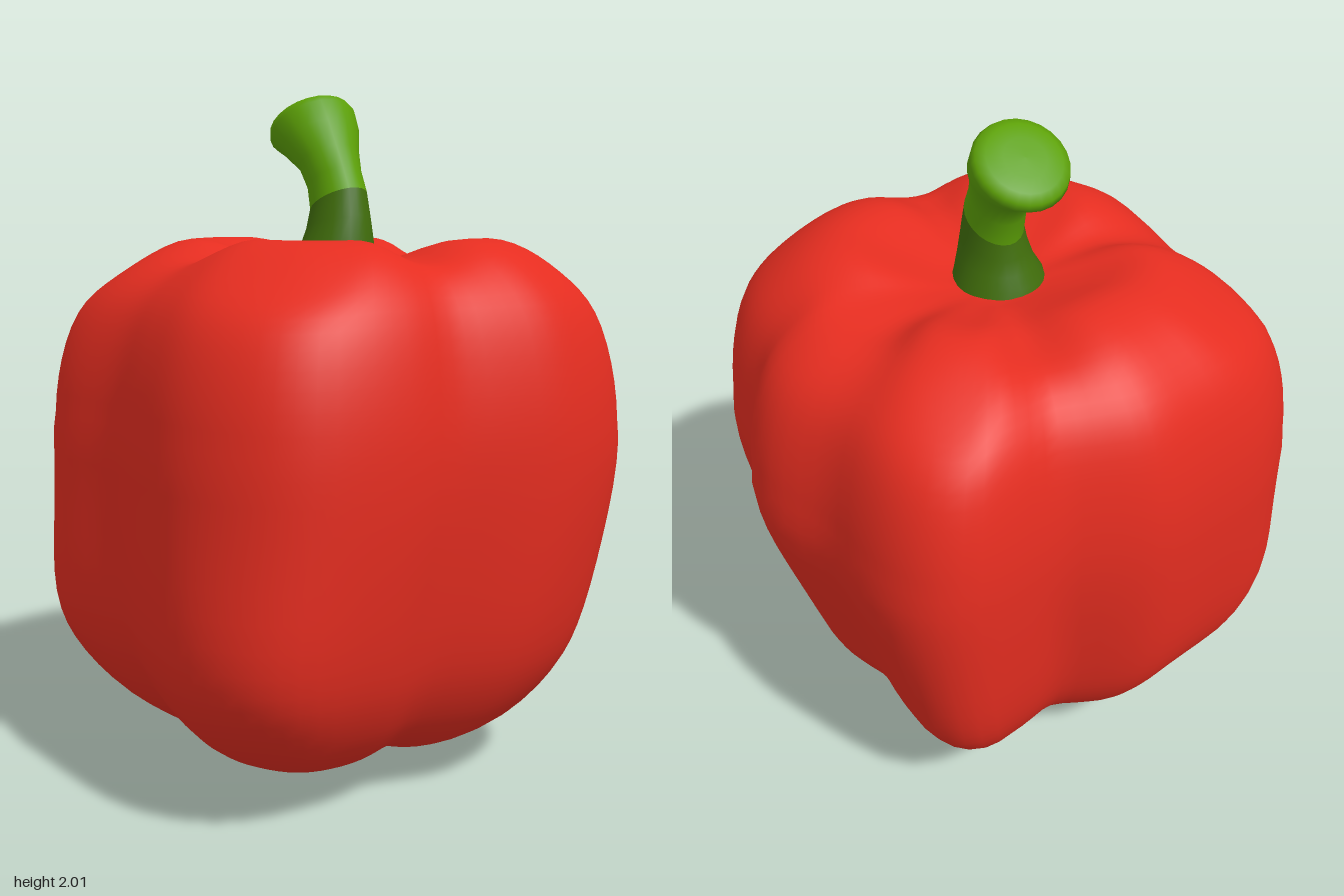
import * as THREE from 'three';

const bump = (d, width) => Math.exp(-(d * d) / (width * width));
const { smoothstep, lerp } = THREE.MathUtils;

// Skins rings of points (arrays of Vector3, equal length) into one smooth surface.
function skin(rings) {
  const n = rings[0].length;
  const pos = rings.flat().flatMap((p) => [p.x, p.y, p.z]);
  const index = [];
  for (let i = 0; i < rings.length - 1; i++) {
    for (let j = 0; j < n; j++) {
      const a = i * n + j, b = i * n + ((j + 1) % n);
      index.push(a, a + n, b, b, a + n, b + n);
    }
  }
  const geo = new THREE.BufferGeometry();
  geo.setAttribute('position', new THREE.Float32BufferAttribute(pos, 3));
  geo.setIndex(index);
  geo.computeVertexNormals();
  return geo;
}

// Lobed body: the plan outline is scaled along a vertical profile, then creased.
function bodyGeometry() {
  const outline = new THREE.CatmullRomCurve3([
    [-0.12, -0.75], [-0.32, -0.71], [-0.57, -0.63], [-0.75, -0.46], [-0.77, -0.33],
    [-0.735, -0.04], [-0.745, 0.16], [-0.74, 0.39], [-0.69, 0.54], [-0.6, 0.66],
    [-0.5, 0.72], [-0.35, 0.745], [-0.19, 0.74], [-0.07, 0.715], [0.1, 0.73],
    [0.3, 0.735], [0.52, 0.65], [0.63, 0.55], [0.7, 0.37], [0.715, 0.15],
    [0.765, 0.02], [0.76, -0.11], [0.67, -0.31], [0.64, -0.48], [0.6, -0.6],
    [0.53, -0.69], [0.44, -0.73], [0.3, -0.72], [0.15, -0.69], [0.03, -0.72],
  ].map(([x, z]) => new THREE.Vector3(x, 0, z)), true).getSpacedPoints(96).slice(0, 96);

  const creases = [[-0.03, 0.72], [-0.73, -0.04], [0.15, -0.69], [0.68, -0.29]];

  // Scale of the outline against height, from the top hollow to the base
  const profile = new THREE.SplineCurve([
    [0, 1.49], [0.15, 1.495], [0.3, 1.53], [0.5, 1.58], [0.68, 1.555], [0.82, 1.48],
    [0.92, 1.37], [0.98, 1.2], [1, 1.0], [0.98, 0.75], [0.93, 0.5], [0.85, 0.33],
    [0.7, 0.18], [0.5, 0.085], [0.3, 0.05], [0.15, 0.065], [0, 0.08],
  ].map(([s, y]) => new THREE.Vector2(s, y))).getPoints(56);

  return skin(profile.map(({ x, y }) => outline.map((p) => {
    const s = Math.max(0, x);
    const top = y > 1;
    const radius = p.length();
    const crease = Math.max(...creases.map(([cx, cz]) => bump(Math.hypot(p.x - cx, p.z - cz), 0.19)));
    const corner = smoothstep(radius, 0.8, 0.92);
    const sideLobe = bump(p.x - 0.77, 0.2) * bump(p.z + 0.03, 0.25);
    const low = smoothstep(1.1 - y, 0, 0.7);
    const round = lerp(0.75 / radius, 1, smoothstep(s, 0, top ? 0.45 : 0.7)); // rounder near the poles
    const swell = 1 - low * (0.03 * crease * smoothstep(s, 0.3, 0.9) + 0.05 * sideLobe)
      + 0.05 * corner * bump(y - 0.4, 0.28);
    const f = s * round * swell;
    const shoulder = bump(s - 0.55, 0.22);
    const narrow = top ? 0.06 * bump(s - 0.72, 0.2) : 0;
    const px = p.x * f * (1 - narrow) - 0.05 * smoothstep(1 - y, 0, 0.6);
    const pz = p.z * f + 0.02 * (top ? shoulder : 0);
    let h = y;
    if (top) {
      h -= 0.06 * crease * shoulder;                // valleys between lobes
      h -= 0.06 * shoulder * sideLobe;              // lower side lobe
      h -= 0.04 * corner * bump(s - 0.78, 0.17);    // sloping corners
    } else {
      h += 0.03 * crease * bump(s - 0.45, 0.25);
      h -= 0.055 * bump(Math.hypot(px + 0.2, pz + 0.17), 0.2); // lowest lobe tip
    }
    return new THREE.Vector3(px, h, pz);
  })));
}

// Stem section: each row is [x, y, z, backward tilt, half width, half depth].
function stemGeometry(rows) {
  const sides = 24;
  return skin(rows.map(([x, y, z, tilt, rx, rz]) => Array.from({ length: sides }, (_, j) => {
    const a = (j / sides) * Math.PI * 2;
    const d = Math.sin(a) * rz;
    return new THREE.Vector3(x + Math.cos(a) * rx, y + d * Math.sin(tilt), z + d * Math.cos(tilt));
  })));
}

export function createModel() {
  const make = (name, color) => {
    const m = new THREE.MeshStandardMaterial({ color });
    m.name = name;
    return m;
  };
  const red = make('red skin', 0xe52d20);
  const green = make('light green', 0x5ca006);
  const darkGreen = make('dark green', 0x406d0b);

  const group = new THREE.Group();
  group.name = 'bellPepper';
  const add = (name, geo, mat) => {
    const mesh = new THREE.Mesh(geo, mat);
    mesh.name = name;
    group.add(mesh);
  };

  add('body', bodyGeometry(), red);

  const joint = [-0.015, 1.685, 0.018, 0.4, 0.08, 0.106];
  add('stemBase', stemGeometry([
    [-0.03, 1.46, 0.015, 0, 0.14, 0.15],
    [-0.03, 1.515, 0.018, 0, 0.125, 0.138],
    [-0.025, 1.56, 0.026, 0.08, 0.105, 0.127],
    [-0.02, 1.62, 0.026, 0.22, 0.09, 0.116],
    joint,
  ]), darkGreen);

  // Flared, backward-leaning stem with a slanted cut end
  add('stemTip', stemGeometry([
    joint,
    [-0.015, 1.75, -0.005, 0.42, 0.079, 0.094],
    [-0.015, 1.81, -0.037, 0.46, 0.092, 0.095],
    [-0.01, 1.87, -0.095, 0.55, 0.122, 0.117],
    [-0.01, 1.91, -0.142, 0.6, 0.135, 0.137],
    [-0.01, 1.928, -0.156, 0.6, 0.129, 0.129],
    [-0.01, 1.941, -0.165, 0.6, 0.105, 0.104],
    [-0.01, 1.945, -0.168, 0.6, 0.06, 0.06],
    [-0.01, 1.946, -0.169, 0.6, 0, 0],
  ]), green);

  return group;
}
